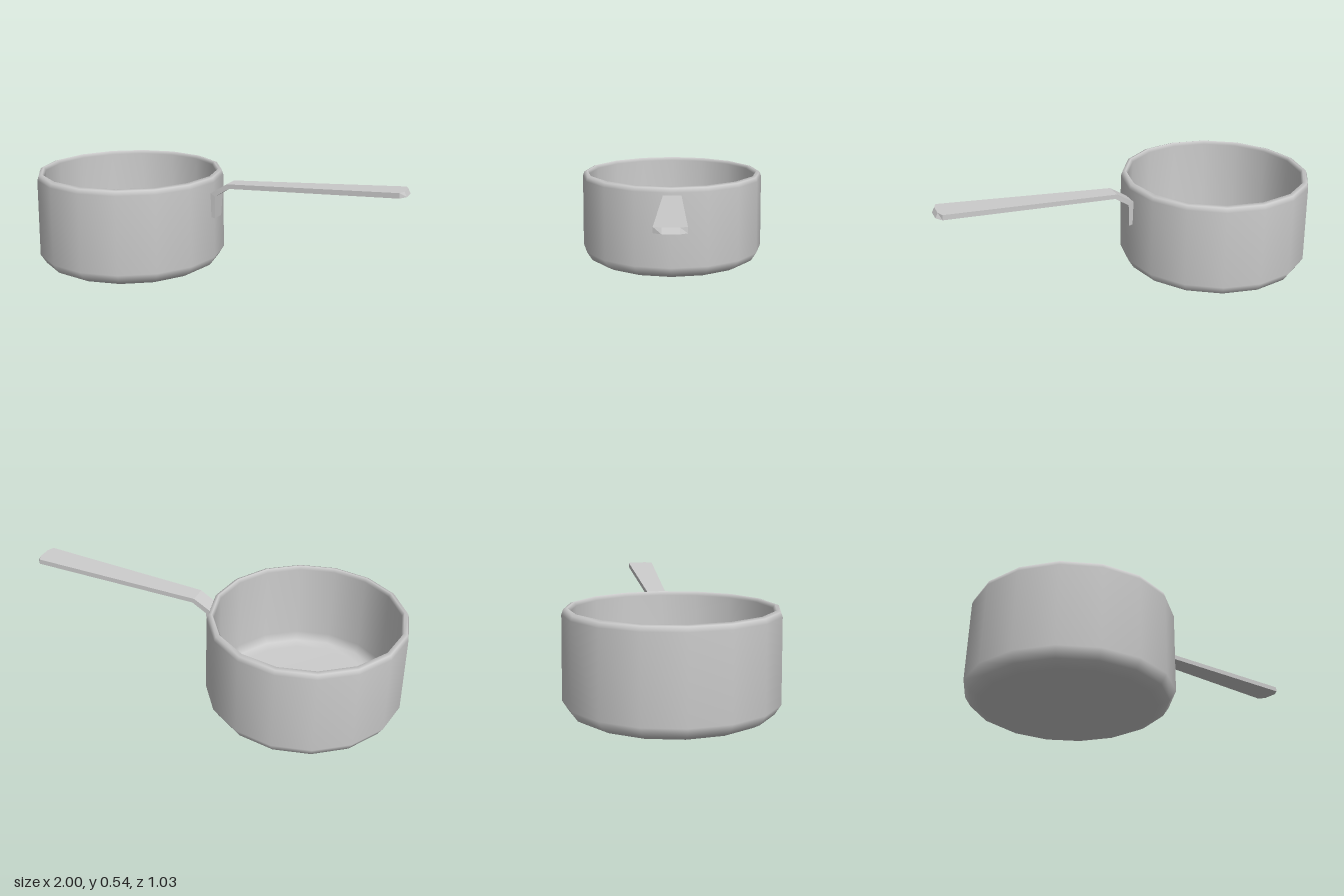
import * as THREE from 'three';

const material = new THREE.MeshStandardMaterial({ color: 0xcccccc, side: THREE.DoubleSide });

// Thin-walled pot: one closed profile, outside then inside
function makePot() {
  const profile = [
    [0, 0], [0.42, 0], [0.44, 0.003], [0.475, 0.022], [0.505, 0.07],
    [0.5, 0.475], [0.492, 0.498], [0.474, 0.504], [0.464, 0.485],
    [0.466, 0.09], [0.445, 0.045], [0.41, 0.025], [0, 0.025],
  ].map(([r, y]) => new THREE.Vector2(r, y));
  const pot = new THREE.Mesh(new THREE.LatheGeometry(profile, 16), material);
  pot.scale.set(0.99, 1, 1.018);
  pot.position.x = -0.5;
  pot.name = 'pot';
  return pot;
}

// Flat bent handle lofted through four-cornered sections
function makeHandle() {
  // [outer x, outer y, inner x, inner y, z back, z front]
  const sections = [
    [0.016, 0.292, -0.004, 0.296, -0.043, 0.033],
    [0.021, 0.41, -0.006, 0.425, -0.05, 0.04],
    [0.095, 0.459, 0.085, 0.482, -0.053, 0.041],
    [0.972, 0.512, 0.97, 0.538, -0.077, 0.066],
    [0.998, 0.514, 0.985, 0.539, -0.045, 0.03],
  ];
  const positions = [];
  const index = [];
  for (const [ox, oy, ix, iy, zb, zf] of sections) {
    positions.push(ox, oy, zb, ox, oy, zf, ix, iy, zf, ix, iy, zb);
  }
  for (let s = 0; s < sections.length - 1; s++) {
    for (let k = 0; k < 4; k++) {
      const a = s * 4 + k, b = s * 4 + (k + 1) % 4;
      index.push(a, a + 4, b, b, a + 4, b + 4);
    }
  }
  const e = (sections.length - 1) * 4;
  index.push(0, 1, 2, 0, 2, 3, e, e + 2, e + 1, e, e + 3, e + 2);

  let geometry = new THREE.BufferGeometry();
  geometry.setAttribute('position', new THREE.Float32BufferAttribute(positions, 3));
  geometry.setIndex(index);
  geometry = geometry.toNonIndexed();
  geometry.computeVertexNormals();
  // Make the winding face outward whichever way the loop ran
  const handle = new THREE.Mesh(geometry, material);
  handle.name = 'handle';
  return handle;
}

export function createModel() {
  const group = new THREE.Group();
  group.name = 'saucepan';
  group.add(makePot(), makeHandle());
  return group;
}
